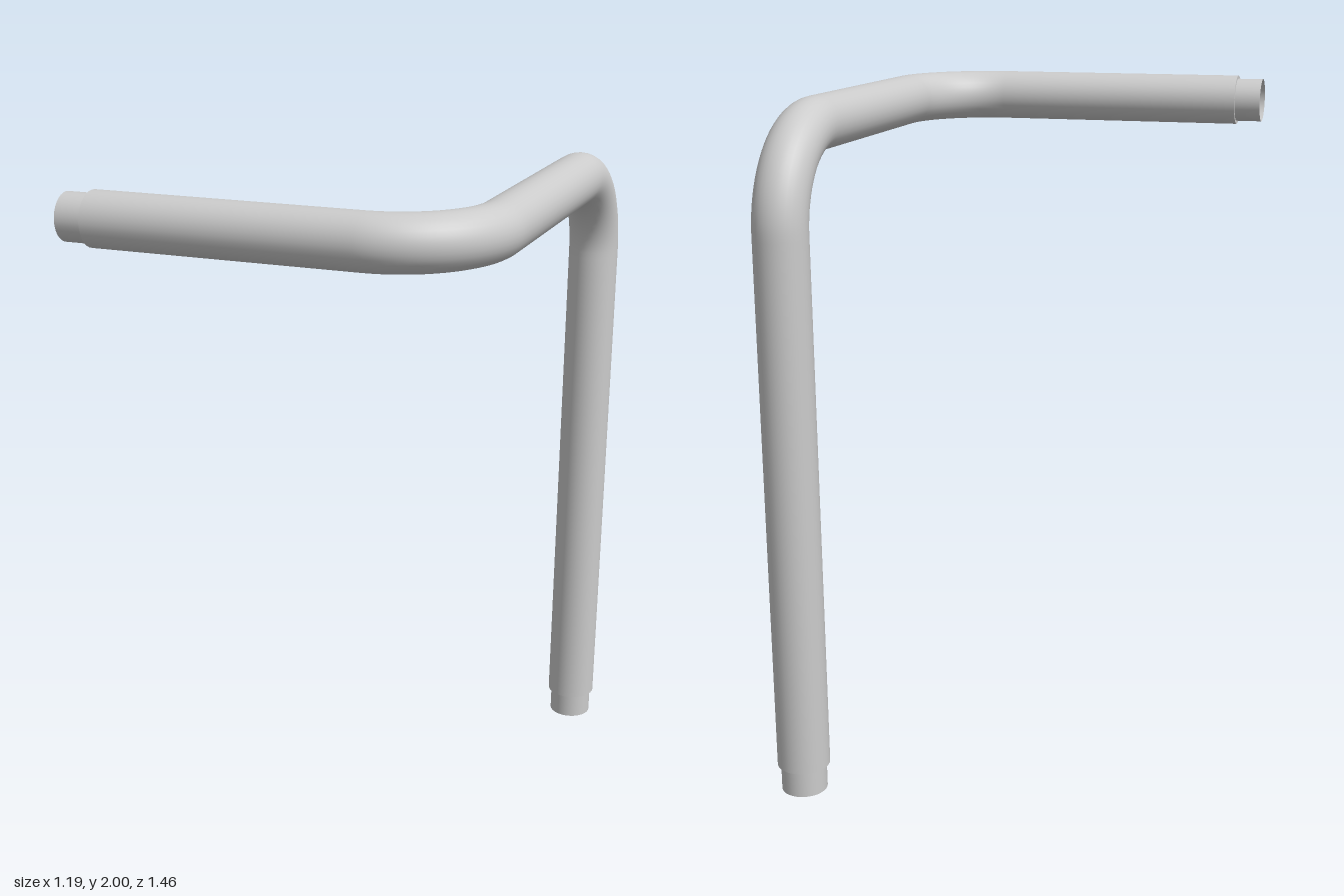
import * as THREE from 'three';

const TUBE_R = 0.077, SPIGOT_R = 0.067, SPIGOT_LEN = 0.08, BEND_R = 0.27, SIDES = 32;
const v = (x, y, z) => new THREE.Vector3(x, y, z);

// Quarter-circle fillet between two legs leaving a corner along unit vectors a and b
class Bend extends THREE.Curve {
  constructor(corner, a, b) {
    super();
    Object.assign(this, { a, b });
    this.centre = corner.clone().addScaledVector(a, BEND_R).addScaledVector(b, BEND_R);
  }
  getPoint(t, target = new THREE.Vector3()) {
    const q = t * Math.PI / 2;
    return target.copy(this.centre)
      .addScaledVector(this.b, -BEND_R * Math.cos(q))
      .addScaledVector(this.a, -BEND_R * Math.sin(q));
  }
}

// Narrower open spigot with a flat shoulder, pointing outwards along dir
function makeSpigot(name, position, dir, material) {
  const group = new THREE.Group();
  group.name = name;
  const wall = new THREE.Mesh(
    new THREE.CylinderGeometry(SPIGOT_R, SPIGOT_R, SPIGOT_LEN, SIDES, 1, true), material);
  wall.name = name + 'Wall';
  wall.position.y = SPIGOT_LEN / 2;
  const shoulder = new THREE.Mesh(new THREE.RingGeometry(SPIGOT_R, TUBE_R, SIDES), material);
  shoulder.name = name + 'Shoulder';
  shoulder.rotation.x = -Math.PI / 2;
  group.add(wall, shoulder);
  group.position.copy(position);
  group.quaternion.setFromUnitVectors(v(0, 1, 0), dir);
  return group;
}

export function createModel() {
  const model = new THREE.Group();
  model.name = 'bentPipe';
  const solid = new THREE.MeshStandardMaterial({ color: 0xcccccc });
  const open = new THREE.MeshStandardMaterial({ color: 0xcccccc, side: THREE.DoubleSide });

  // Corner points of the centre line
  const foot = v(0.518, SPIGOT_LEN, -0.655);
  const backCorner = v(0.518, 1.923, -0.655);
  const frontCorner = v(0.518, 1.923, 0.655);
  const armEnd = v(-0.518, 1.923, 0.655);

  // Upright, back bend, top rail, front bend and arm as one sweep
  const backBend = new Bend(backCorner, v(0, -1, 0), v(0, 0, 1));
  const frontBend = new Bend(frontCorner, v(0, 0, -1), v(-1, 0, 0));
  const path = new THREE.CurvePath();
  path.arcLengthDivisions = 600;
  [
    new THREE.LineCurve3(foot, backBend.getPoint(0)),
    backBend,
    new THREE.LineCurve3(backBend.getPoint(1), frontBend.getPoint(0)),
    frontBend,
    new THREE.LineCurve3(frontBend.getPoint(1), armEnd),
  ].forEach((curve) => path.add(curve));
  const pipe = new THREE.Mesh(new THREE.TubeGeometry(path, 180, TUBE_R, SIDES), solid);
  pipe.name = 'pipe';

  model.add(
    pipe,
    makeSpigot('footSpigot', foot, v(0, -1, 0), open),
    makeSpigot('armSpigot', armEnd, v(-1, 0, 0), open),
  );
  return model;
}
